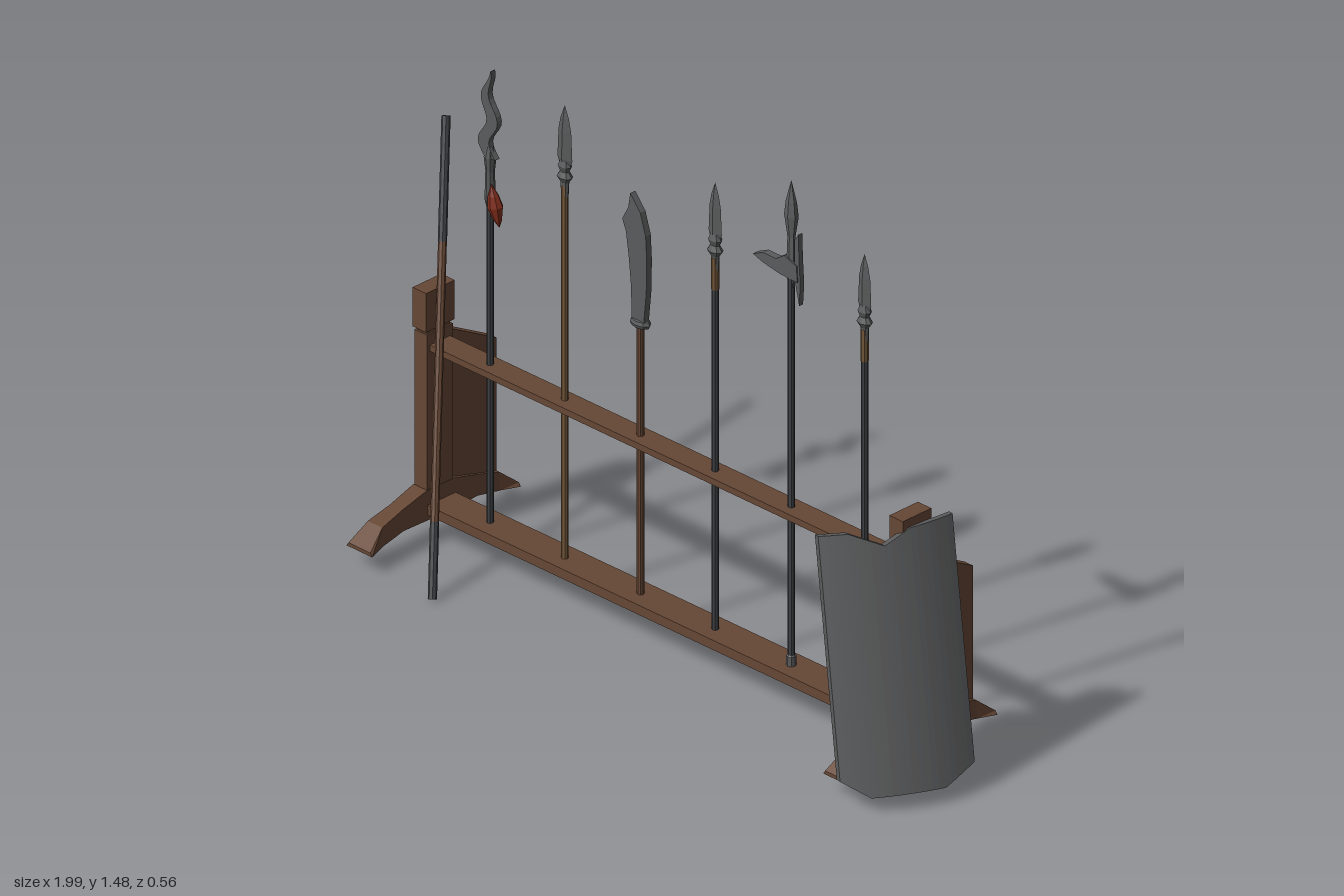
import * as THREE from 'three';

const mat = (name, color) => {
  const m = new THREE.MeshStandardMaterial({ color });
  m.name = name;
  return m;
};

export function createModel() {
  const wood = mat('brown wood', 0x664735);
  const metal = mat('grey steel', 0x5b5c5d);
  const iron = mat('dark iron', 0x3f4245);
  const tan = mat('tan wrap', 0x75583a);
  const red = mat('red tassel', 0x7c2b1a);
  const model = new THREE.Group();
  const Z = -0.02; // centre line of the rack

  // Faceted mesh
  function add(name, geo, material, parent = model) {
    const g = geo.index ? geo.toNonIndexed() : geo;
    g.computeVertexNormals();
    const mesh = new THREE.Mesh(g, material);
    mesh.name = name;
    parent.add(mesh);
    return mesh;
  }
  const box = (name, w, h, d, x, y, z, m = wood, parent = model) =>
    add(name, new THREE.BoxGeometry(w, h, d), m, parent).position.set(x, y, z);
  function plate(name, pts, depth, m, parent) {
    const shape = new THREE.Shape(pts.map(p => new THREE.Vector2(p[0], p[1])));
    const g = new THREE.ExtrudeGeometry(shape, { depth, bevelEnabled: false });
    return add(name, g.translate(0, 0, -depth / 2), m, parent);
  }
  function lathe(name, pts, sides, flat, m, parent) {
    const g = new THREE.LatheGeometry(pts.map(p => new THREE.Vector2(p[0], p[1])), sides);
    return add(name, g.scale(1, 1, flat), m, parent);
  }

  // Foot stations: z, bottom, top, half width
  const stations = [
    [-0.26, 0.05, 0.06, 0.045], [-0.205, 0.055, 0.105, 0.03], [-0.13, 0.067, 0.125, 0.025],
    [-0.05, 0.067, 0.148, 0.028], [0.05, 0.067, 0.148, 0.028], [0.13, 0.067, 0.125, 0.025],
    [0.205, 0.055, 0.105, 0.03], [0.26, 0.05, 0.06, 0.045]];
  function footGeometry() {
    const g = new THREE.BoxGeometry(1, 1, 1, 1, 1, stations.length - 1);
    const p = g.attributes.position;
    for (let i = 0; i < p.count; i++) {
      const s = stations[Math.round((p.getZ(i) + 0.5) * (stations.length - 1))];
      const low = p.getY(i) < 0;
      p.setXYZ(i, Math.sign(p.getX(i)) * s[3] * (low ? 1 : 0.85), low ? s[1] : s[2], s[0]);
    }
    return g;
  }

  // End stands: foot, post, cap block and side panels
  for (const x of [-0.896, 0.775]) {
    const stand = new THREE.Group();
    stand.name = 'endStand';
    stand.position.set(x, 0, Z);
    model.add(stand);
    add('foot', footGeometry(), wood, stand);
    box('post', 0.045, 0.48, 0.09, 0, 0.345, 0, wood, stand);
    box('postNeck', 0.036, 0.02, 0.08, 0, 0.59, 0, wood, stand);
    box('postCap', 0.047, 0.11, 0.1, 0, 0.65, 0, wood, stand);
    const panel = (dir, reach, drop) => {
      const p = plate('sidePanel', [[0.04, 0.1], [reach, 0.1], [reach, drop], [0.04, 0.57]], 0.03, wood, stand);
      p.rotation.y = dir * Math.PI / 2;
    };
    panel(1, 0.205, 0.48);
    if (x > 0) panel(-1, 0.11, 0.53);
  }

  // Rails, very slightly sloping
  box('lowerRail', 1.66, 0.027, 0.098, -0.06, 0.098, Z - 0.002);
  box('upperRail', 1.66, 0.018, 0.07, -0.06, 0.549, Z);
  for (const rail of model.children.slice(-2)) rail.rotation.z = 0.005;

  function weapon(name, x) {
    const g = new THREE.Group();
    g.name = name;
    g.position.set(x, 0, Z);
    model.add(g);
    return g;
  }
  function shaft(parent, y0, y1, m, r = 0.0095, name = 'shaft') {
    const g = new THREE.CylinderGeometry(r, r, y1 - y0, 8);
    add(name, g, m, parent).position.y = (y0 + y1) / 2;
  }
  // Collared leaf-shaped spear head starting at height y
  function spearHead(parent, y, h, w) {
    lathe('spearSocket', [[0.011, y - 0.02], [0.013, y + 0.02], [0.024, y + 0.035], [0.014, y + 0.05], [0.021, y + 0.065], [0.01, y + 0.09]], 8, 0.7, metal, parent);
    lathe('spearBlade', [[0.012, y + 0.05], [w, y + 0.085], [w * 0.85, y + h * 0.7], [w * 0.55, y + h * 0.85], [0, y + h]], 4, 0.45, metal, parent);
  }

  // Wavy spear with a tassel
  const wavy = weapon('wavySpear', -0.698);
  shaft(wavy, 0.11, 1.0, iron);
  lathe('taperedSocket', [[0.0095, 1.0], [0.014, 1.02], [0.012, 1.1], [0.016, 1.14], [0.009, 1.17]], 8, 1, metal, wavy);
  const edgeA = [], edgeB = [];
  for (let i = 0; i <= 18; i++) {
    const t = i / 18, y = 1.14 + 0.245 * t;
    const c = 0.018 * Math.sin(t * 11.5 + 2.8) * (1 - 0.5 * t);
    const w = 0.019 * Math.min(1, (1 - t) * 2.2 + 0.03);
    edgeA.push([c + w, y]);
    edgeB.unshift([c - w, y]);
  }
  plate('wavyBlade', [...edgeA, ...edgeB], 0.016, metal, wavy);
  const tassel = lathe('tassel', [[0, -0.055], [0.012, -0.035], [0.023, 0], [0.016, 0.03], [0, 0.062]], 7, 0.8, red, wavy);
  tassel.position.set(0.027, 1.01, 0.008);
  tassel.rotation.z = 0.25;

  // Leaf spear with a tan shaft
  const leaf = weapon('leafSpear', -0.436);
  shaft(leaf, 0.11, 1.16, tan);
  spearHead(leaf, 1.15, 0.235, 0.026);

  // Glaive
  const glaive = weapon('glaive', -0.171);
  shaft(glaive, 0.11, 0.87, wood);
  lathe('guard', [[0, 0.862], [0.028, 0.866], [0.033, 0.875], [0.028, 0.884], [0, 0.886]], 8, 0.6, metal, glaive);
  plate('glaiveBlade', [[-0.022, 0.88], [0.02, 0.88], [0.029, 0.97], [0.031, 1.06], [0.027, 1.13], [0.008, 1.19],
    [-0.027, 1.232], [-0.034, 1.19], [-0.055, 1.15], [-0.042, 1.12], [-0.032, 1.05], [-0.024, 0.97]], 0.018, metal, glaive);

  // Two matching short spears
  for (const x of [0.091, 0.615]) {
    const spear = weapon('shortSpear', x);
    shaft(spear, 0.11, 1.07, iron);
    shaft(spear, 1.07, 1.16, tan, 0.0105, 'wrap');
    spearHead(spear, 1.145, 0.225, 0.023);
  }

  // Beaked halberd
  const halberd = weapon('halberd', 0.358);
  shaft(halberd, 0.11, 1.22, iron);
  lathe('halberdButt', [[0, 0.11], [0.013, 0.112], [0.013, 0.14], [0.009, 0.145]], 8, 1, metal, halberd);
  lathe('halberdSpike', [[0.01, 1.18], [0.016, 1.22], [0.012, 1.32], [0.022, 1.38], [0.017, 1.42], [0, 1.48]], 6, 0.6, metal, halberd);
  plate('halberdBeak', [[0.03, 1.205], [0.028, 1.25], [-0.015, 1.265], [-0.045, 1.245], [-0.09, 1.245],
    [-0.125, 1.228], [-0.09, 1.217], [-0.03, 1.207]], 0.02, metal, halberd);
  plate('halberdHook', [[0.034, 1.14], [0.038, 1.2], [0.034, 1.26], [0.031, 1.34], [0.018, 1.32], [0.018, 1.21]], 0.014, metal, halberd);

  // Leaning staff with metal ends
  const top = new THREE.Vector3(-0.99, 1.09, -0.157), foot = new THREE.Vector3(-0.65, 0.006, 0.23);
  const staff = new THREE.Group();
  staff.name = 'leaningStaff';
  staff.position.copy(foot);
  staff.quaternion.setFromUnitVectors(new THREE.Vector3(0, 1, 0), top.clone().sub(foot).normalize());
  model.add(staff);
  const L = top.distanceTo(foot);
  shaft(staff, 0, 0.16 * L, iron, 0.0115, 'staffLowerEnd');
  shaft(staff, 0.16 * L, 0.74 * L, wood, 0.011, 'staffGrip');
  shaft(staff, 0.74 * L, L, iron, 0.0115, 'staffUpperEnd');

  // Curved shield with a notched top, leaning on the end stand
  const shieldGeo = new THREE.BoxGeometry(1, 1, 0.028, 20, 1, 1);
  const p = shieldGeo.attributes.position;
  const lerpTable = (table, t) => {
    const i = Math.max(1, table.findIndex(e => e[0] >= t - 1e-6));
    const [a, b] = [table[i - 1], table[i]];
    return a[1] + (b[1] - a[1]) * (t - a[0]) / (b[0] - a[0]);
  };
  const topEdge = [[0, 0.625], [0.2, 0.625], [0.45, 0.585], [0.65, 0.62], [1, 0.632]];
  const lowEdge = [[0, 0], [0.2, -0.048], [0.75, -0.048], [1, 0]];
  for (let i = 0; i < p.count; i++) {
    const u = p.getX(i);
    const v = lerpTable(p.getY(i) > 0 ? topEdge : lowEdge, u + 0.5);
    p.setXYZ(i, u * 0.35, v, p.getZ(i) - 0.014 + 0.04 * (1 - 4 * u * u));
  }
  const shield = add('shield', shieldGeo, metal);
  const U = new THREE.Vector3(0.16, 0, -0.31).normalize();
  const N = U.clone().cross(new THREE.Vector3(-0.165, 0.605, -0.075)).normalize();
  shield.quaternion.setFromRotationMatrix(new THREE.Matrix4().makeBasis(U, N.clone().cross(U), N));
  shield.position.set(0.91, 0.08, 0.125);

  return model;
}
